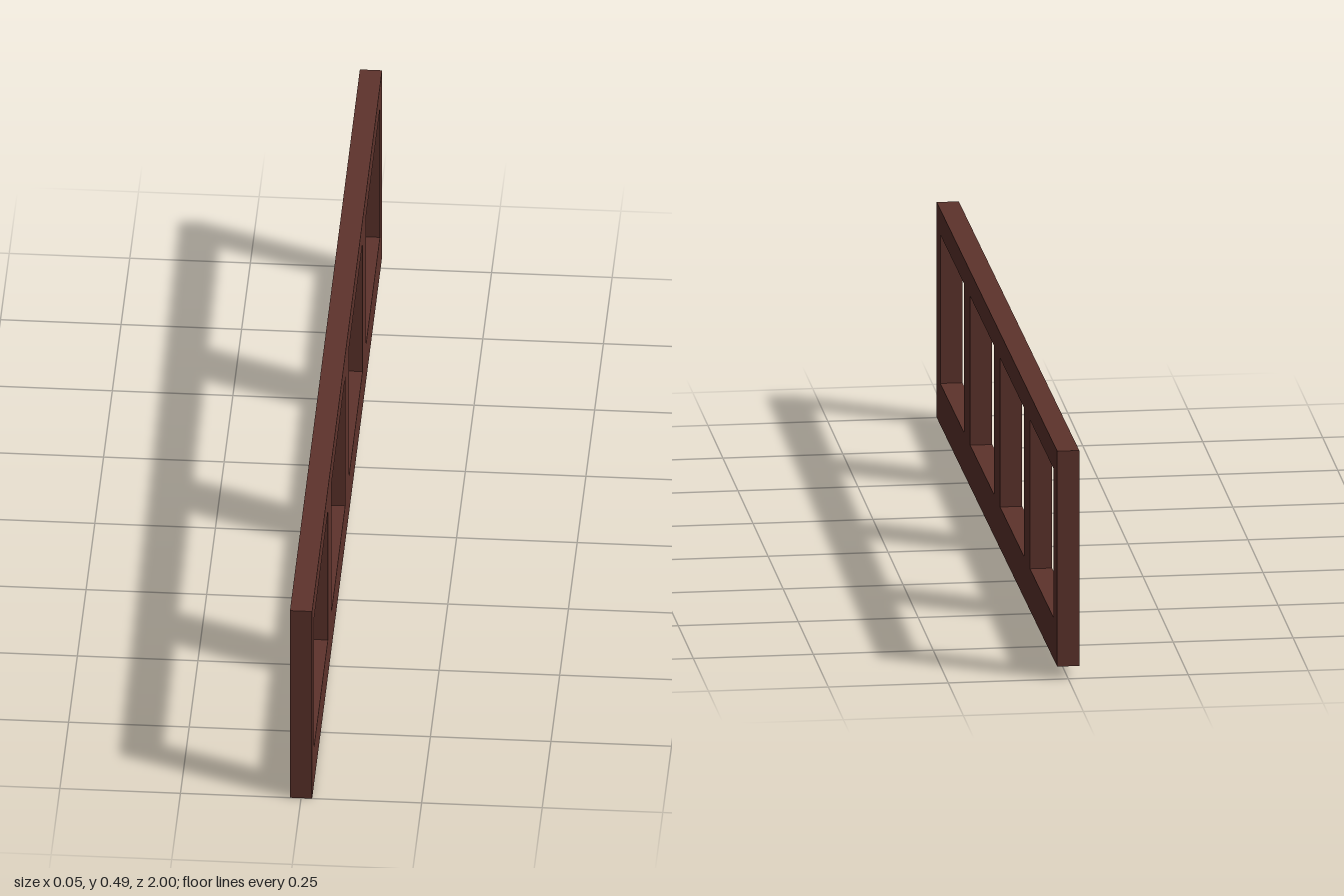
import * as THREE from 'three';

const DEPTH = 0.046;
// The frame is sheared: it rises slightly towards the back.
const rise = (u) => 0.0135 * (u + 1);

// Four-sided outline from u0 to u1 (u = -z), between two heights, following the rise.
function slanted(Type, u0, u1, low, high) {
  const path = new Type();
  path.moveTo(u0, low + rise(u0));
  path.lineTo(u1, low + rise(u1));
  path.lineTo(u1, high + rise(u1));
  path.lineTo(u0, high + rise(u0));
  path.closePath();
  return path;
}

export function createModel() {
  const group = new THREE.Group();
  group.name = 'windowFrame';
  const wood = new THREE.MeshStandardMaterial({ color: 0x5e332c });
  wood.name = 'darkReddishWood';

  // Long frame with four evenly spaced openings
  const outline = slanted(THREE.Shape, -1, 1, 0, 0.463);
  for (let i = 0; i < 4; i++) {
    const centre = -0.744 + i * 0.496;
    outline.holes.push(slanted(THREE.Path, centre - 0.197, centre + 0.197, 0.089, 0.409));
  }
  const geometry = new THREE.ExtrudeGeometry(outline, { depth: DEPTH, bevelEnabled: false });
  geometry.translate(0, 0, -DEPTH / 2);
  geometry.rotateY(Math.PI / 2);

  const frame = new THREE.Mesh(geometry, wood);
  frame.name = 'frame';
  group.add(frame);
  return group;
}
